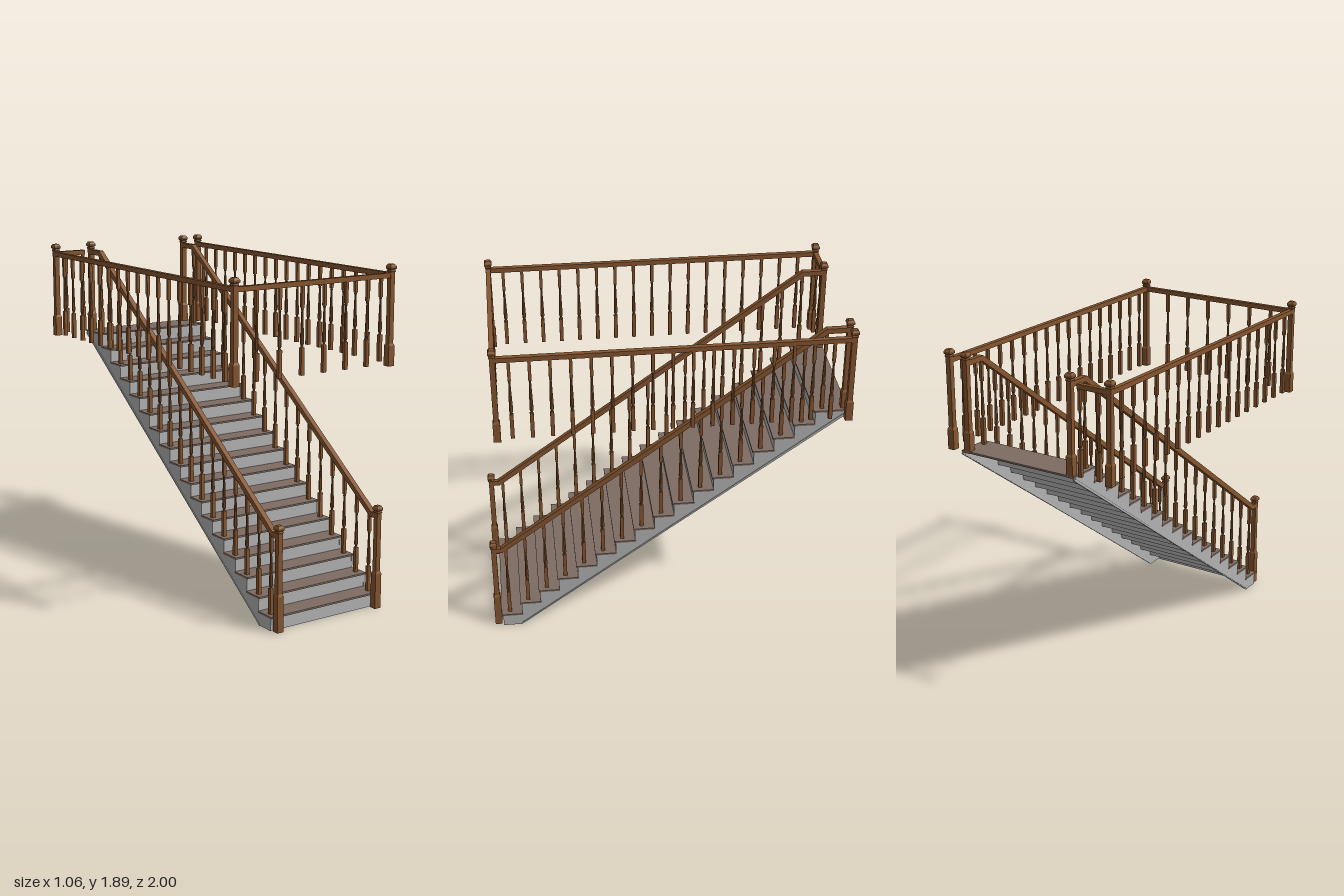
import * as THREE from 'three';

const STEPS = 17, RISE = 0.0795, RUN = 0.1106, FRONT = 0.96;
const LEFT = 0.432, RIGHT = -0.303;          // stair sides in x
const RAIL_X = [0.395, -0.272];              // stair rail lines
const OUT_L = 0.505, OUT_R = -0.512;         // gallery rail lines
const Z_FRONT = 0.912, Z_BACK = -0.98, FLOOR = 1.352, RAIL_Y = 1.833;

const mat = (name, color) => {
  const m = new THREE.MeshStandardMaterial({ color });
  m.name = name;
  return m;
};

export function createModel() {
  const wood = mat('warm wood', 0x85552f);
  const tread = mat('tread brown', 0x7d6c62);
  const grey = mat('painted grey', 0xb2b2b2);
  const model = new THREE.Group();

  const add = (name, geo, material, x = 0, y = 0, z = 0, parent = model) => {
    const mesh = new THREE.Mesh(geo, material);
    mesh.name = name;
    mesh.position.set(x, y, z);
    parent.add(mesh);
    return mesh;
  };
  const group = (name) => {
    const g = new THREE.Group();
    g.name = name;
    model.add(g);
    return g;
  };

  // Faceted lathe; with 4 sides the radii are half widths of a square section
  const turned = (points, sides) => {
    const k = sides === 4 ? Math.SQRT2 : 1;
    const g = new THREE.LatheGeometry(
      points.map(([r, y]) => new THREE.Vector2(r * k, y)), sides, Math.PI / 4).toNonIndexed();
    g.computeVertexNormals();
    return g;
  };

  // Side outline given as [z, y], extruded across x
  const sideExtrude = (outline, width) => {
    const shape = new THREE.Shape(outline.map(([z, y]) => new THREE.Vector2(-z, y)));
    return new THREE.ExtrudeGeometry(shape, { depth: width, bevelEnabled: false })
      .translate(0, 0, -width / 2).rotateY(Math.PI / 2);
  };

  // Treads and risers, open underneath
  const stairs = group('stairs');
  const mid = (LEFT + RIGHT) / 2, width = LEFT - RIGHT, T = 0.01;
  for (let i = 0; i < STEPS; i++) {
    const front = FRONT - i * RUN, top = (i + 1) * RISE;
    const back = i === STEPS - 1 ? -1 : front - RUN - 0.012;
    add('tread', new THREE.BoxGeometry(width, T, front - back),
      [tread, tread, tread, grey, tread, tread], mid, top - T / 2, (front + back) / 2, stairs);
    const low = Math.max(0, i * RISE - T);
    add('riser', new THREE.BoxGeometry(width - 0.012, top - T - low, 0.006),
      grey, mid, (top - T + low) / 2, front - 0.012, stairs);
  }

  // Sawtooth stringers with a narrow trim along the lower edge
  const saw = [[0.845, 0], [FRONT - 0.008, 0]];
  for (let i = 0; i < STEPS; i++) {
    const z = FRONT - 0.008 - i * RUN, y = (i + 1) * RISE - T;
    saw.push([z, y], [i === STEPS - 1 ? -1 : z - RUN, y]);
  }
  saw.push([-1, 1.333]);
  const trim = [[0.845, 0], [0.845, 0.012], [-0.985, 1.336], [-1, 1.336], [-1, 1.329], [0.855, 0]];
  for (const [x, s] of [[LEFT, 1], [RIGHT, -1]]) {
    add('stringer', sideExtrude(saw, 0.008), grey, x - s * 0.007, 0, 0, stairs);
    add('stringerTrim', sideExtrude(trim, 0.01), grey, x - s * 0.004, 0, 0, stairs);
  }

  // Newel posts: square base, slimmer shaft and a moulded cap
  const posts = group('newelPosts');
  const postGeo = (h, base) => turned([[0, 0], [0.02, 0], [0.02, base], [0.0145, base + 0.012],
    [0.0145, h - 0.045], [0.018, h - 0.038], [0.0145, h - 0.03], [0.021, h - 0.024],
    [0.021, h - 0.012], [0.013, h], [0, h]], 4);
  const lowPost = postGeo(0.587, 0.2), highPost = postGeo(0.553, 0.112);
  for (const x of RAIL_X) {
    add('bottomNewel', lowPost, wood, x, 0, 0.98, posts);
    add('topNewel', highPost, wood, x, 1.34, Z_BACK, posts);
  }
  for (const x of [OUT_L, OUT_R])
    for (const z of [Z_FRONT, Z_BACK]) add('galleryNewel', highPost, wood, x, 1.34, z, posts);

  // Balusters: square foot and head with a tapered turned middle
  const H = 0.475;
  const parts = [
    ['balusterFoot', turned([[0, 0], [0.0105, 0], [0.0105, 0.145], [0, 0.145]], 4)],
    ['balusterSpindle', turned([[0.009, 0.145], [0.006, 0.153], [0.0105, 0.165], [0.0105, 0.185],
      [0.0055, 0.335], [0.008, 0.342], [0.0055, 0.352]], 8)],
    ['balusterHead', turned([[0, 0.35], [0.0085, 0.35], [0.0085, H], [0, H]], 4)],
  ];
  const balusters = group('balusters');
  const baluster = (x, y, z, h) => {
    const b = new THREE.Group();
    b.name = 'baluster';
    b.position.set(x, y, z);
    b.scale.y = h / H;
    for (const [name, geo] of parts) add(name, geo, wood, 0, 0, 0, b);
    balusters.add(b);
  };

  // Sloping stair handrails, level at both ends
  const rails = group('handrails');
  const line = [[0.975, 0.53], [0.935, 0.53], [-0.86, RAIL_Y], [Z_BACK, RAIL_Y]];
  const slope = (RAIL_Y - 0.53) / 1.795, half = 0.0145;
  const shift = half * Math.tan(Math.atan(slope) / 2); // mitre offset
  const edge = (s) => line.map(([z, y], i) =>
    [z + (i === 1 || i === 2 ? s * shift : 0), y + s * half]);
  const band = [...edge(1), ...edge(-1).reverse()];
  for (const x of RAIL_X) {
    add('stairHandrail', sideExtrude(band, 0.03), wood, x, 0, 0, rails);
    for (let i = 0; i < STEPS; i++) {
      const z = FRONT - 0.048 - i * RUN, y = (i + 1) * RISE;
      baluster(x, y, z, Math.min(RAIL_Y, 0.53 + (0.935 - z) * slope) - y);
    }
  }

  // Gallery handrails around the stairwell
  const W = 0.027, span = Z_FRONT - Z_BACK, h = RAIL_Y - FLOOR;
  for (const x of [OUT_L, OUT_R]) {
    add('sideHandrail', new THREE.BoxGeometry(W, W, span), wood,
      x, RAIL_Y, (Z_FRONT + Z_BACK) / 2, rails);
    for (let i = 0; i < 17; i++) baluster(x, FLOOR, 0.83 - i * 0.1068, h);
  }
  add('frontHandrail', new THREE.BoxGeometry(OUT_L - OUT_R, W, W), wood,
    (OUT_L + OUT_R) / 2, RAIL_Y, Z_FRONT, rails);
  for (let i = 0; i < 6; i++) baluster(0.345 - i * 0.144, FLOOR, Z_FRONT, h);
  add('backHandrail', new THREE.BoxGeometry(0.19, W, W), wood, OUT_R + 0.095, RAIL_Y, Z_BACK, rails);
  for (const x of [-0.445, -0.33]) baluster(x, FLOOR, Z_BACK, h);

  return model;
}
